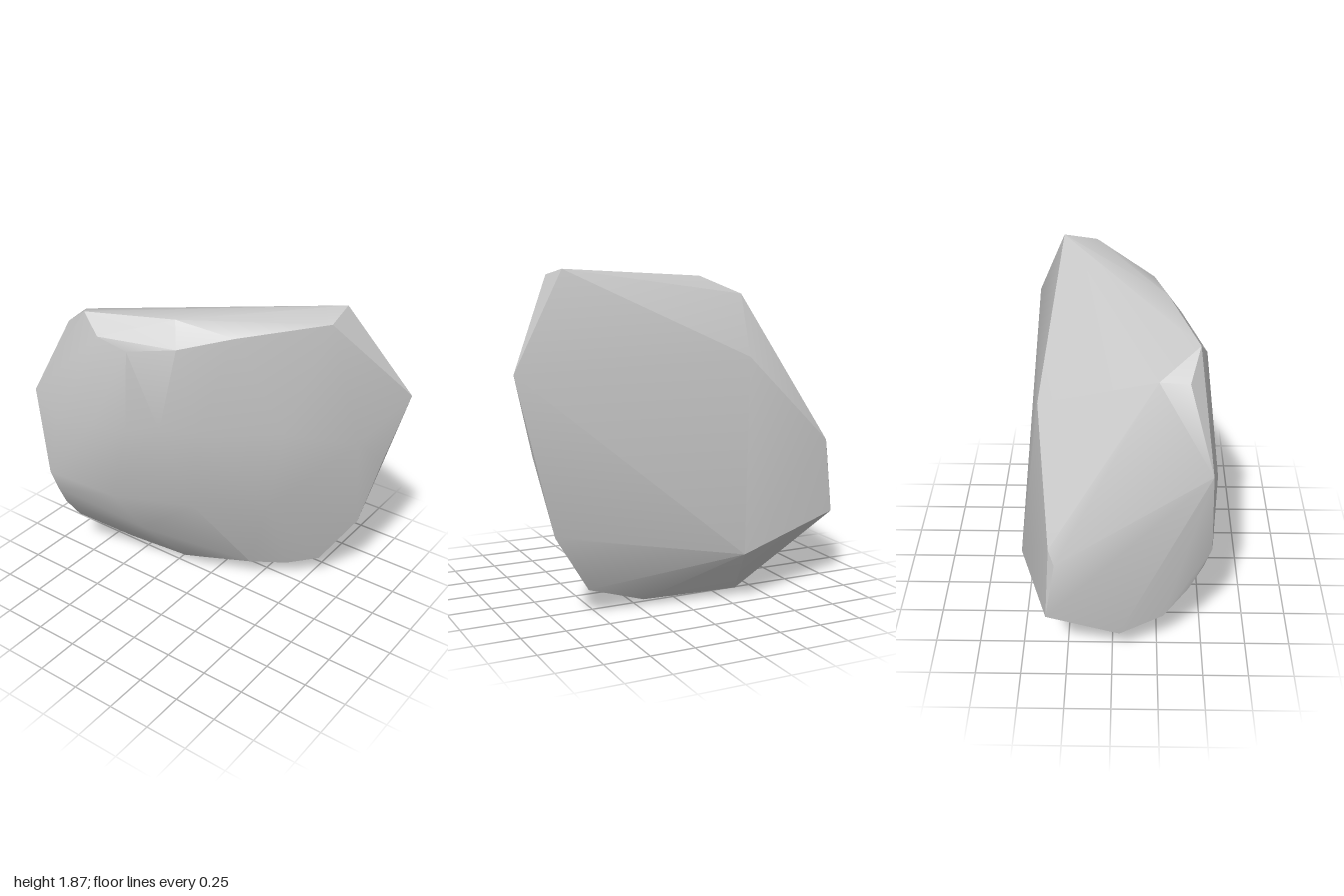
import * as THREE from 'three';
import { ConvexGeometry } from 'three/addons/geometries/ConvexGeometry.js';
import { toCreasedNormals } from 'three/addons/utils/BufferGeometryUtils.js';

// Corner points of the boulder, grouped by region
const topRim = [
  [0.67, 1.87, -0.3], [0.69, 1.835, -0.11], [0.31, 1.775, 0.22], [-0.02, 1.82, 0.29],
  [-0.52, 1.79, 0.44], [-0.7, 1.685, 0.23], [-0.69, 1.67, 0.385],
];
const frontBevel = [
  [0.04, 1.69, 0.365], [-0.22, 1.645, 0.46], [-0.4, 1.69, 0.48],
];
const frontBulge = [
  [0.82, 1.1, -0.25], [0.52, 1.2, 0.05], [0.14, 1.2, 0.32], [-0.05, 1.2, 0.41],
  [-0.24, 1.15, 0.47], [-0.45, 1.15, 0.515],
  [0.4, 0.65, 0], [0.04, 0.65, 0.24], [-0.4, 0.65, 0.43], [-0.32, 0.35, 0.25],
];
const leftAndRightEdges = [
  [1, 1.36, -0.48], [0.89, 0.93, -0.42], [0.77, 0.48, -0.41], [0.56, 0.15, -0.35],
  [-0.87, 1.24, 0.51], [-0.69, 1.12, 0.545], [-0.79, 0.72, 0.53],
  [-0.775, 0.59, 0.49], [-0.795, 0.45, 0.415], [-0.82, 0.27, 0.28],
];
const back = [
  [-0.4, 1.375, -0.4], [-0.97, 0.85, -0.325], [-1, 0.77, -0.295],
  [-1, 0.42, -0.35], [-0.3, 0.29, -0.54],
];
const underside = [
  [-0.89, 0.2, 0.04], [-0.4, 0, -0.26], [0.21, 0.03, -0.3], [0.4, 0.11, -0.24],
  [0.22, 0.125, -0.1], [-0.05, 0.1, 0], [-0.2, 0.05, 0], [-0.58, 0.08, 0.07],
];

export function createModel() {
  const group = new THREE.Group();
  group.name = 'boulder';
  const stone = new THREE.MeshStandardMaterial({ color: 0xc9c9c9 });
  stone.name = 'grey stone';

  // Convex stone body: soft over shallow angles, crisp at the chipped edges
  const points = [topRim, frontBevel, frontBulge, leftAndRightEdges, back, underside]
    .flat().map((p) => new THREE.Vector3(...p));
  const rock = new THREE.Mesh(toCreasedNormals(new ConvexGeometry(points), 0.52), stone);
  rock.name = 'rock';
  group.add(rock);
  return group;
}
